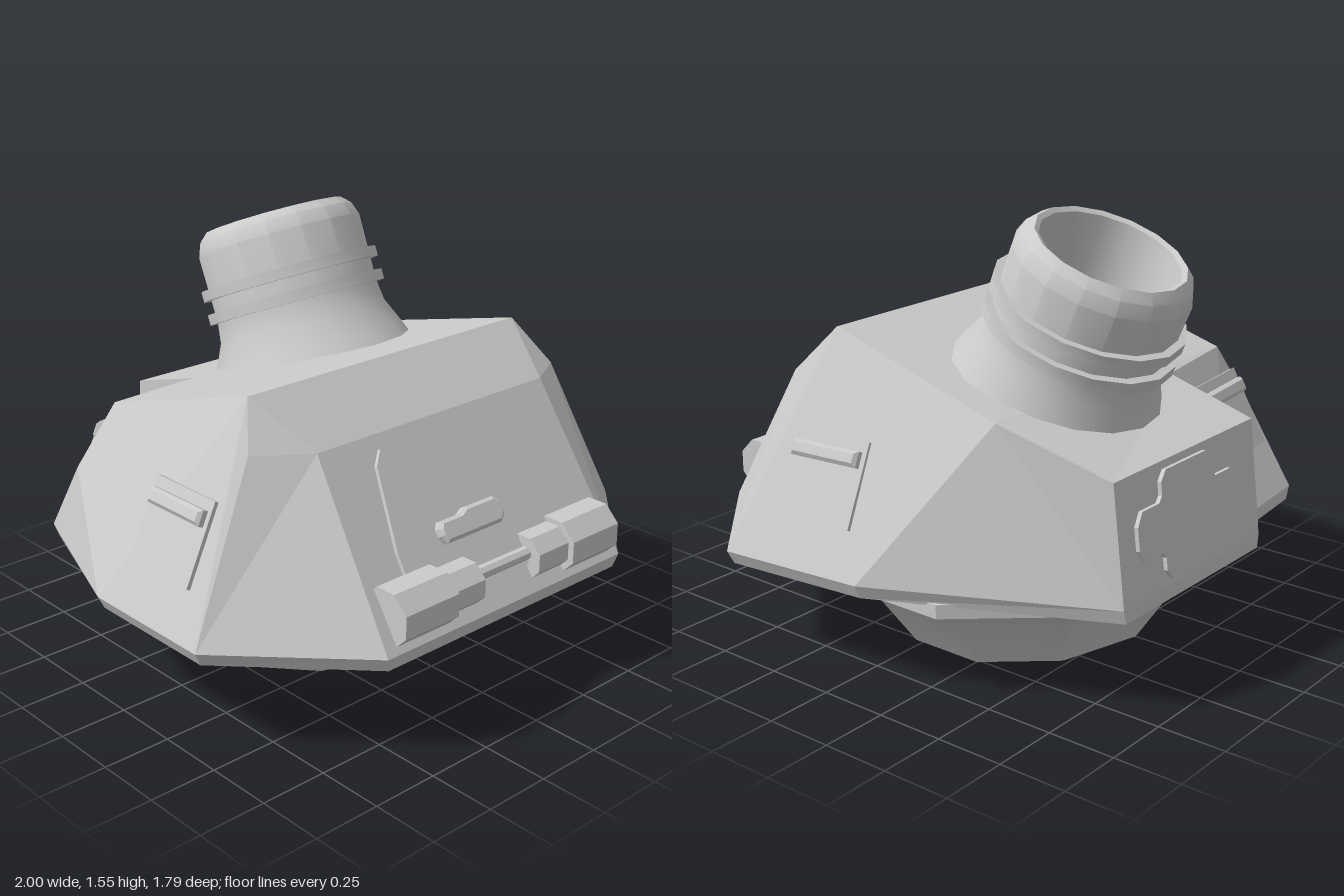
import * as THREE from 'three';
import { toCreasedNormals } from 'three/addons/utils/BufferGeometryUtils.js';

const mat = new THREE.MeshStandardMaterial({ color: 0xcccccc });
const flat = new THREE.MeshStandardMaterial({ color: 0xcccccc, flatShading: true });

function add(parent, name, geometry, material = flat, x = 0, y = 0, z = 0) {
  const m = new THREE.Mesh(geometry, material);
  m.name = name;
  m.position.set(x, y, z);
  parent.add(m);
  return m;
}

const box = (w, h, d) => new THREE.BoxGeometry(w, h, d);

function plate(points, depth, bevel = 0) {
  const shape = new THREE.Shape(points.map(p => new THREE.Vector2(...p)));
  return new THREE.ExtrudeGeometry(shape, {
    depth, bevelEnabled: bevel > 0, bevelSize: bevel, bevelThickness: bevel, bevelSegments: 1,
  });
}

function lathe(profile, sides) {
  const pts = profile.map(p => new THREE.Vector2(...p));
  return toCreasedNormals(new THREE.LatheGeometry(pts, sides), 0.5);
}

// Hull corners: rim outline (x, z) at y = 0.39, and upper corners
const v = (x, y, z) => new THREE.Vector3(x, y, z);
const rim = [[-.57, .86], [.58, .86], [1, .46], [.94, -.09], [.55, -.89],
  [-.28, -.89], [-.28, -.78], [-.78, -.73], [-1, -.12], [-1, .42]];
const R = rim.map(([x, z]) => v(x, .39, z));
const L = rim.map(([x, z]) => v(x * .975, .34, z * (z > 0 ? .985 : 1)));
const T = [v(-.53, .97, .48), v(.55, .97, .48), v(.69, .98, .41), v(.61, 1.14, .28),
  v(.65, .95, -.45), v(.55, .81, -.84), v(-.28, .81, -.84), v(-.28, .91, -.5),
  v(-.66, .92, -.46), v(-.65, 1.14, .28), v(-.71, .97, .35), v(-.78, .68, -.54)];

function hullGeometry() {
  const faces = [
    [R[0], R[1], T[1], T[0]],                 // front plate
    [R[1], R[2], T[2], T[1]],                 // front cheeks
    [R[9], R[0], T[0], T[10]],
    [T[0], T[1], T[3], T[9]],                 // brow
    [T[1], T[2], T[3]], [T[10], T[0], T[9]],
    [T[3], T[2], R[2], R[3], T[4]],           // sides
    [T[9], T[8], R[8], R[9], T[10]],
    [T[4], R[3], R[4], T[5]],                 // rear flanks
    [R[8], T[8], T[11], R[7]],
    [R[4], R[5], T[6], T[5]],                 // rear box
    [R[5], R[6], T[7], T[6]],
    [R[6], R[7], T[11], T[8], T[7]],          // sloped rear notch
    [T[9], T[3], T[4], T[8]],                 // roof
    [T[8], T[4], T[7]], [T[7], T[4], T[5], T[6]],
    [6, 5, 4, 3, 2, 1, 0, 9, 8, 7].map(i => L[i]), // underside
  ];
  // Lip around the rim
  for (let i = 0; i < R.length; i++) {
    const j = (i + 1) % R.length;
    faces.push([L[i], L[j], R[j], R[i]]);
  }
  const pts = [];
  for (const f of faces)
    for (let i = 1; i < f.length - 1; i++) pts.push(f[0], f[i], f[i + 1]);
  const g = new THREE.BufferGeometry().setFromPoints(pts);
  g.computeVertexNormals();
  return g;
}

// Group lying on the plane a-b-c, local +z pointing outward
function mount(parent, name, a, b, c, at) {
  const plane = new THREE.Plane().setFromCoplanarPoints(a, b, c);
  const g = new THREE.Group();
  g.name = name;
  plane.projectPoint(at, g.position);
  g.lookAt(g.position.clone().add(plane.normal));
  parent.add(g);
  return g;
}

// Vision hatch: thin panel with a raised wedge-shaped slit cover
function visionHatch(parent, name, a, b, c, at, width) {
  const g = mount(parent, name, a, b, c, at);
  add(g, 'hatchPanel', box(width, .3, .03));
  const w = width - .06;
  const cover = plate([[-w / 2, -.012], [w / 2, -.012], [w / 2, .02], [-w / 2, .02]], .02, .012);
  add(g, 'slitCover', cover, flat, 0, .08, .015);
}

export function createModel() {
  const model = new THREE.Group();
  model.name = 'turret';

  // Ten-sided base ring, wider than deep
  const base = add(model, 'baseRing',
    lathe([[0, 0], [.457, 0], [.59, .21], [.73, .3], [.73, .35], [0, .35]], 10), mat, 0, 0, -.11);
  base.scale.x = 1.18;

  add(model, 'hull', hullGeometry());

  // Side and rear vision hatches
  visionHatch(model, 'leftHatch', R[2], R[3], T[3], v(.83, .68, .15), .31);
  visionHatch(model, 'rightHatch', R[8], R[9], T[9], v(-.85, .68, .15), .31);
  visionHatch(model, 'rearHatch', R[6], R[7], T[8], v(-.515, .7, -.59), .37);

  // Front door with handle
  const front = mount(model, 'frontDoor', R[0], R[1], T[1], v(0, .39, .86));
  add(front, 'doorPanel', plate([[-.39, .1], [.41, .1], [.405, .3], [.37, .59], [.33, .64],
    [-.29, .64], [-.33, .59], [-.385, .3]], .015));
  add(front, 'doorHandle', plate([[-.18, .28], [.07, .28], [.09, .3], [.09, .335], [.07, .35],
    [-.06, .35], [-.09, .335], [-.18, .335], [-.19, .32], [-.19, .3]], .035, .012));

  // Paired door hinges and the pin between them
  const hinge = (r, w) => new THREE.CylinderGeometry(r, r, w, 8).rotateY(Math.PI / 8).rotateZ(Math.PI / 2);
  for (const s of [-1, 1]) {
    add(model, 'outerHinge', hinge(.105, .24), flat, .005 + s * .405, .495, .79);
    add(model, 'innerHinge', hinge(.085, .15), flat, .005 + s * .21, .495, .785);
  }
  add(model, 'hingePin', hinge(.025, .3), flat, .005, .515, .8);

  // Cross-shaped plate on the rear box
  const rear = mount(model, 'rearPlate', R[4], R[5], T[6], v(.165, .6, -.87));
  const quarter = [[.295, .04], [.265, .085], [.17, .085], [.15, .105], [.15, .15], [.12, .185]];
  const mirrored = (sx, sy) => quarter.map(([x, y]) => [x * sx, y * sy]);
  add(rear, 'crossPlate', plate([...mirrored(1, 1), ...mirrored(-1, 1).reverse(),
    ...mirrored(-1, -1), ...mirrored(1, -1).reverse()], .015));

  // Tilted open cupola with flared foot and two bands
  const cupola = new THREE.Group();
  cupola.name = 'cupola';
  cupola.position.set(.16, .955, -.335);
  cupola.rotation.x = -23 * Math.PI / 180;
  model.add(cupola);
  add(cupola, 'tube', lathe([[.4, -.06], [.37, .02], [.325, .12], [.315, .2], [.318, .455],
    [.3, .505], [.268, .535], [.25, .525], [.25, .1], [0, .1]], 16), mat);
  for (const y of [.195, .285])
    add(cupola, 'band', lathe([[.3, y], [.345, y], [.345, y + .04], [.3, y + .04]], 16), mat);

  return model;
}
